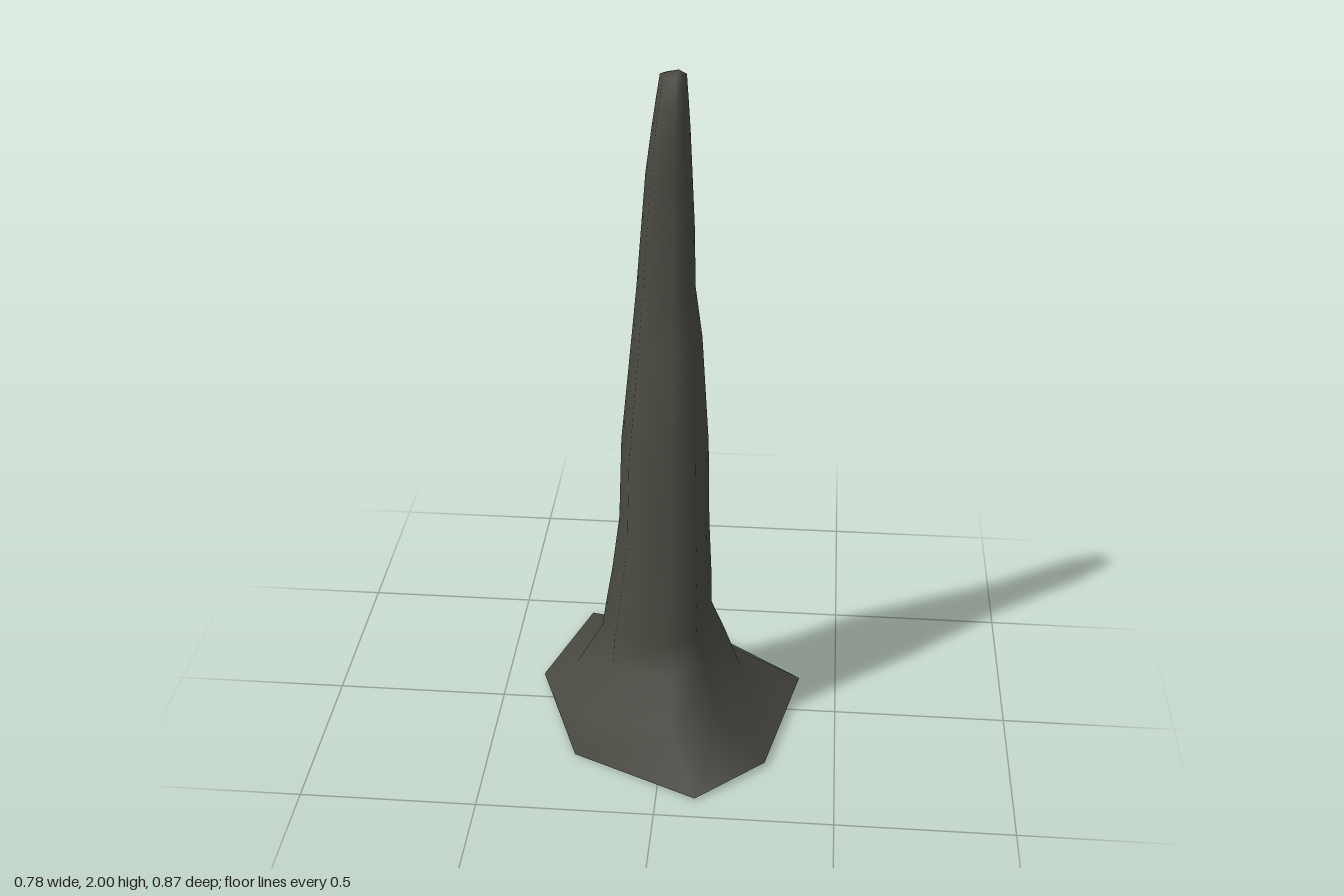
import * as THREE from 'three';

// Foot corners (x, z), going round from the back left of the plan
const foot = [[-0.28, -0.433], [0.12, -0.335], [0.39, -0.13], [0.3, 0.27], [0.11, 0.433], [-0.25, 0.26], [-0.39, -0.1]];
const footY = [0.01, 0.015, 0.02, 0.015, 0.008, 0, 0.01];

// Trunk sections: height, then x and z extents
const sections = [
  [0.15, -0.27, 0.22, -0.18, 0.335],
  [0.28, -0.195, 0.168, -0.145, 0.25],
  [0.38, -0.18, 0.13, -0.115, 0.232],
  [0.5, -0.16, 0.128, -0.09, 0.213],
  [0.67, -0.138, 0.12, -0.08, 0.193],
  [0.92, -0.13, 0.115, -0.085, 0.185],
  [1.25, -0.097, 0.095, -0.042, 0.138],
  [1.4, -0.082, 0.076, -0.02, 0.121],
  [1.57, -0.068, 0.073, -0.004, 0.11],
  [1.72, -0.056, 0.066, -0.002, 0.108],
  [1.84, -0.04, 0.06, 0, 0.105],
  [1.91, -0.03, 0.055, 0.003, 0.09],
  [1.985, -0.018, 0.05, 0.022, 0.073],
];

function createTrunkGeometry() {
  const n = foot.length;
  const positions = [];
  const index = [];
  foot.forEach(([x, z], i) => positions.push(x, footY[i], z));

  // Each section keeps the directions of the foot corners
  for (const [y, x0, x1, z0, z1] of sections) {
    for (const [fx, fz] of foot) {
      const r = Math.hypot(fx, fz);
      positions.push(
        (x0 + x1) / 2 + (fx / r) * (x1 - x0) / 2 * 1.03,
        y,
        (z0 + z1) / 2 + (fz / r) * (z1 - z0) / 2 * 1.03
      );
    }
  }
  for (let k = 0; k < sections.length; k++) {
    for (let i = 0; i < n; i++) {
      const a = k * n + i;
      const b = k * n + (i + 1) % n;
      index.push(a, a + n, b, b, a + n, b + n);
    }
  }

  // Blunt tip
  const tip = positions.length / 3;
  positions.push(0.03, 2, 0.052);
  const last = sections.length * n;
  for (let i = 0; i < n; i++) index.push(last + i, tip, last + (i + 1) % n);

  const geometry = new THREE.BufferGeometry();
  geometry.setAttribute('position', new THREE.Float32BufferAttribute(positions, 3));
  geometry.setIndex(index);
  geometry.computeVertexNormals();
  return geometry;
}

export function createModel() {
  const group = new THREE.Group();
  group.name = 'deadTrunk';

  // Open underneath, so both faces show
  const bark = new THREE.MeshStandardMaterial({ color: 0x4a4a42, side: THREE.DoubleSide });
  bark.name = 'darkBark';

  const trunk = new THREE.Mesh(createTrunkGeometry(), bark);
  trunk.name = 'trunk';
  group.add(trunk);
  return group;
}
